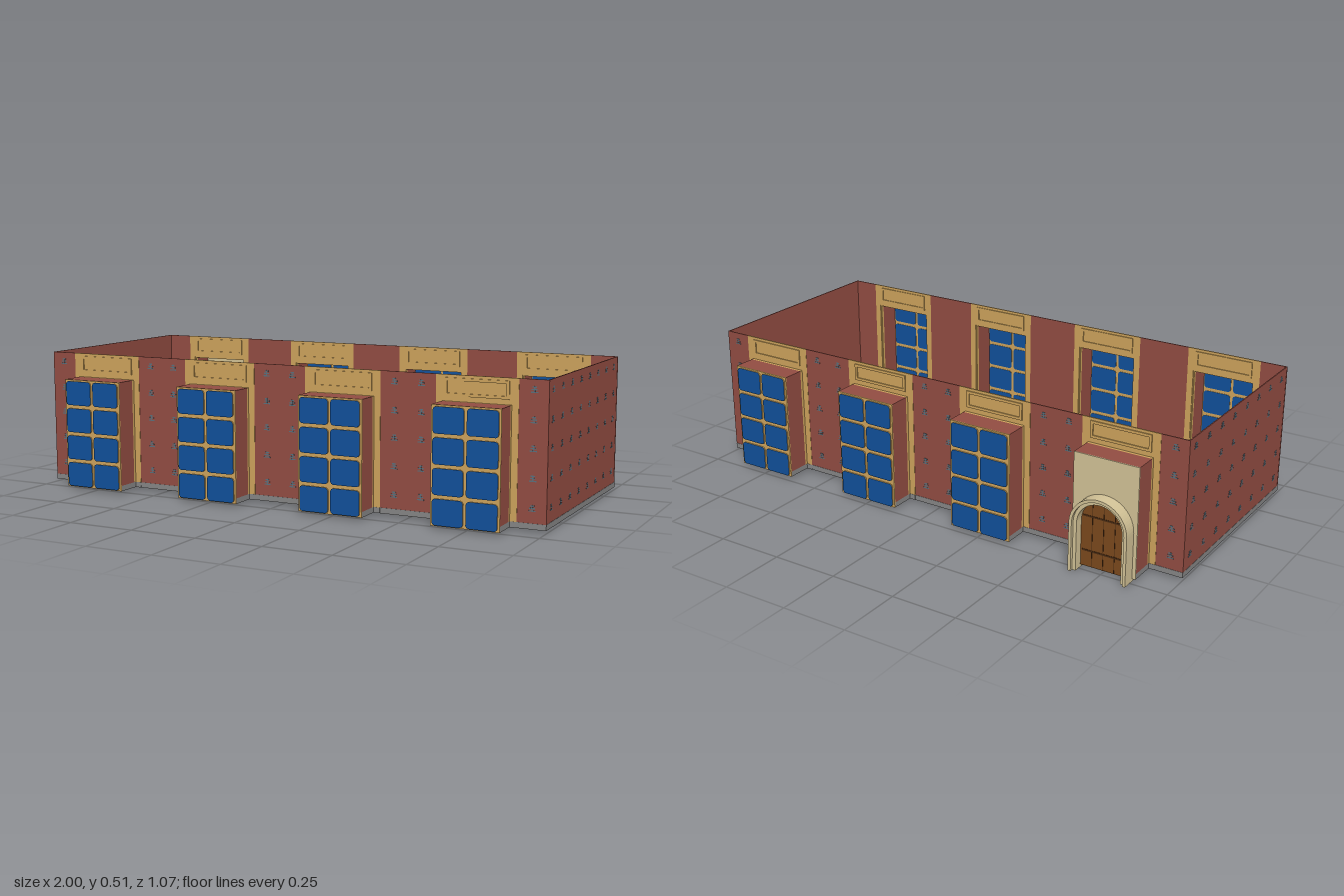
import * as THREE from 'three';
import { mergeGeometries } from 'three/addons/utils/BufferGeometryUtils.js';

const mat = (name, color) => {
  const m = new THREE.MeshStandardMaterial({ color });
  m.name = name;
  return m;
};

export function createModel() {
  const red = mat('red wall', 0x924c42), tan = mat('tan trim', 0xcda35c);
  const blue = mat('blue glass', 0x10509a), grey = mat('grey skirting', 0x858585);
  const cream = mat('cream stone', 0xd2c296), brown = mat('brown door', 0x7a481c);
  const dark = mat('dark door grooves', 0x4a2b12), slate = mat('slate ornament', 0x5a707c);

  const T = 0.004;                       // wall thickness
  const BASE = 0.01, SKIRT = 0.03, TOP = 0.51;
  const W = 0.123, H = 0.42, D = 0.097;  // bay half width, top and depth
  const PW = 0.147;                      // portal half width
  const FRONT = 0.43, BACK = 0.387;

  const add = (parent, name, geo, material) => {
    const m = new THREE.Mesh(geo, material);
    m.name = name;
    parent.add(m);
    return m;
  };
  const group = (parent, name) => {
    const g = new THREE.Group();
    g.name = name;
    parent.add(g);
    return g;
  };
  // box given by its limits
  const boxGeo = (x0, x1, y0, y1, z0, z1) =>
    new THREE.BoxGeometry(x1 - x0, y1 - y0, z1 - z0)
      .translate((x0 + x1) / 2, (y0 + y1) / 2, (z0 + z1) / 2);
  const box = (parent, name, material, ...b) => add(parent, name, boxGeo(...b), material);
  const poly = pts => new THREE.Shape(pts.map(p => new THREE.Vector2(...p)));
  const extrude = (shape, z0, z1) =>
    new THREE.ExtrudeGeometry(shape, { depth: z1 - z0, bevelEnabled: false, curveSegments: 16 })
      .translate(0, 0, z0);

  // grid of small three-bar ornaments on a wall face
  function ornaments(parent, xs) {
    const parts = [];
    for (const x of xs) for (const y of [0.08, 0.18, 0.28, 0.375, 0.475]) {
      for (const [w, dy] of [[0.014, 0.009], [0.02, 0.001], [0.025, -0.008]])
        parts.push(boxGeo(x - w / 2, x + w / 2, y + dy - 0.002, y + dy + 0.002, 0, 0.001));
      parts.push(boxGeo(x - 0.002, x + 0.002, y - 0.01, y + 0.012, 0, 0.001));
    }
    add(parent, 'wallOrnaments', mergeGeometries(parts), slate);
  }

  // red wall piece with skirting, outer face at z = 0
  function wallPiece(parent, x0, x1) {
    box(parent, 'wallPanel', red, x0, x1, SKIRT, TOP, -T, 0);
    box(parent, 'skirting', grey, x0, x1, BASE, SKIRT, -T, 0.001);
  }

  // flat tan surround with a framed panel above the opening
  function portal(parent) {
    const shape = poly([[-PW, SKIRT], [-W, SKIRT], [-W, H], [W, H], [W, SKIRT],
      [PW, SKIRT], [PW, TOP], [-PW, TOP]]);
    add(parent, 'portalSurround', extrude(shape, -T, 0.001), tan);
    for (const s of [-1, 1]) {
      const xs = [s * W, s * PW].sort((a, b) => a - b);
      box(parent, 'portalSkirting', grey, ...xs, BASE, SKIRT, -T, 0.002);
    }
    const frame = poly([[-0.115, 0.438], [0.115, 0.438], [0.115, 0.5], [-0.115, 0.5]]);
    frame.holes.push(poly([[-0.105, 0.448], [0.105, 0.448], [0.105, 0.49], [-0.105, 0.49]]));
    add(parent, 'panelFrameOuter', extrude(frame, 0.001, 0.005), tan);
    add(parent, 'panelFrameInner', extrude(frame, -T - 0.004, -T), tan);
  }

  // hollow projecting bay: sides and roof, open below and towards the room
  function bayShell(parent) {
    for (const s of [-1, 1]) {
      const xs = [s * W, s * (W - T)].sort((a, b) => a - b);
      box(parent, 'baySide', red, ...xs, SKIRT, H, 0.012, D - T);
      box(parent, 'bayReveal', tan, ...xs, SKIRT, H, 0, 0.012);
      box(parent, 'baySkirting', grey, ...xs, BASE, SKIRT, 0, D - T);
    }
    box(parent, 'bayRoof', red, -W + T, W - T, H - T, H, 0.012, D - T);
    box(parent, 'bayRoofReveal', tan, -W + T, W - T, H - T, H, 0, 0.012);
  }

  // two by four chamfered panes, blue on both faces with tan edges
  function bayWindow(parent) {
    box(parent, 'windowFrame', tan, -W, W, BASE, H, D - T, D);
    const w = 0.0555, h = 0.0455, c = 0.01;
    const pane = poly([[-w + c, -h], [w - c, -h], [w - c / 3, -h + c / 3], [w, -h + c],
      [w, h - c], [w - c / 3, h - c / 3], [w - c, h], [-w + c, h],
      [-w + c / 3, h - c / 3], [-w, h - c], [-w, -h + c], [-w + c / 3, -h + c / 3]]);
    const geo = extrude(pane, D - T - 0.002, D + 0.005);
    for (const x of [-0.0605, 0.0605]) for (let r = 0; r < 4; r++)
      add(parent, 'windowPane', geo, [blue, tan]).position.set(x, 0.0585 + r * 0.1035, 0);
  }

  // arch outline of radius r, springing at y = 0.18
  const SPRING = 0.18;
  const archShape = (r, y0) => {
    const s = new THREE.Shape();
    s.moveTo(-r, y0);
    s.lineTo(r, y0);
    s.lineTo(r, SPRING);
    s.absarc(0, SPRING, r, 0, Math.PI, false);
    s.lineTo(-r, y0);
    return s;
  };
  const archRing = (ro, ri) => {
    const s = new THREE.Shape();
    s.moveTo(ri, 0);
    s.lineTo(ro, 0);
    s.lineTo(ro, SPRING);
    s.absarc(0, SPRING, ro, 0, Math.PI, false);
    s.lineTo(-ro, 0);
    s.lineTo(-ri, 0);
    s.lineTo(-ri, SPRING);
    s.absarc(0, SPRING, ri, Math.PI, 0, true);
    s.lineTo(ri, 0);
    return s;
  };

  // plastered bay front with an arched stone doorway
  function bayDoor(parent) {
    const w = W, r = 0.095;
    const face = poly([[-w, BASE], [-r, BASE], [-r, SPRING],
      ...Array.from({ length: 15 }, (_, i) => {
        const a = Math.PI * (1 - (i + 1) / 16);
        return [r * Math.cos(a), SPRING + r * Math.sin(a)];
      }),
      [r, SPRING], [r, BASE], [w, BASE], [w, H], [-w, H]]);
    add(parent, 'doorWall', extrude(face, D - T, D), cream);
    add(parent, 'doorArchOuter', extrude(archRing(0.11, 0.099), D - 0.018, 0.146), cream);
    add(parent, 'doorArchInner', extrude(archRing(0.1, 0.086), D - 0.014, 0.134), cream);
    add(parent, 'door', extrude(archShape(0.088, BASE), D - 0.006, D + 0.004), brown);
    for (const z of [D - 0.0075, D + 0.004]) {
      for (const x of [-0.043, 0, 0.043])
        box(parent, 'doorGroove', dark, x - 0.001, x + 0.001, BASE, 0.245, z, z + 0.0015);
      for (const y of [0.07, 0.2])
        box(parent, 'doorStrap', dark, -0.08, 0.08, y - 0.003, y + 0.003, z, z + 0.0015);
    }
  }

  // long wall facing +z with four bays; doorAt is the index of the door bay
  function longWall(parent, doorAt) {
    const centres = [-0.75, -0.25, 0.25, 0.75];
    [-1.25, ...centres].forEach(c =>
      wallPiece(parent, Math.max(-1, c + PW), Math.min(1, c + 0.5 - PW)));
    centres.forEach((x, i) => {
      const bay = group(parent, i === doorAt ? 'doorBay' : 'windowBay');
      bay.position.x = x;
      portal(bay);
      bayShell(bay);
      (i === doorAt ? bayDoor : bayWindow)(bay);
    });
    ornaments(parent, [-0.95, -0.55, -0.45, -0.052, 0.052, 0.45, 0.55, 0.95]);
  }

  const model = new THREE.Group();
  model.name = 'hall';

  const front = group(model, 'frontWall');
  front.position.z = FRONT;
  longWall(front, -1);

  const back = group(model, 'backWall');
  back.position.z = -BACK;
  back.rotation.y = Math.PI;
  longWall(back, 3);

  // end walls
  const half = (FRONT + BACK) / 2;
  for (const s of [-1, 1]) {
    const end = group(model, s > 0 ? 'leftEndWall' : 'rightEndWall');
    end.position.set(s * 0.999, 0, (FRONT - BACK) / 2);
    end.rotation.y = s * Math.PI / 2;
    wallPiece(end, -half, half);
    ornaments(end, Array.from({ length: 8 }, (_, i) => (i - 3.5) * 0.1025));
  }
  return model;
}
